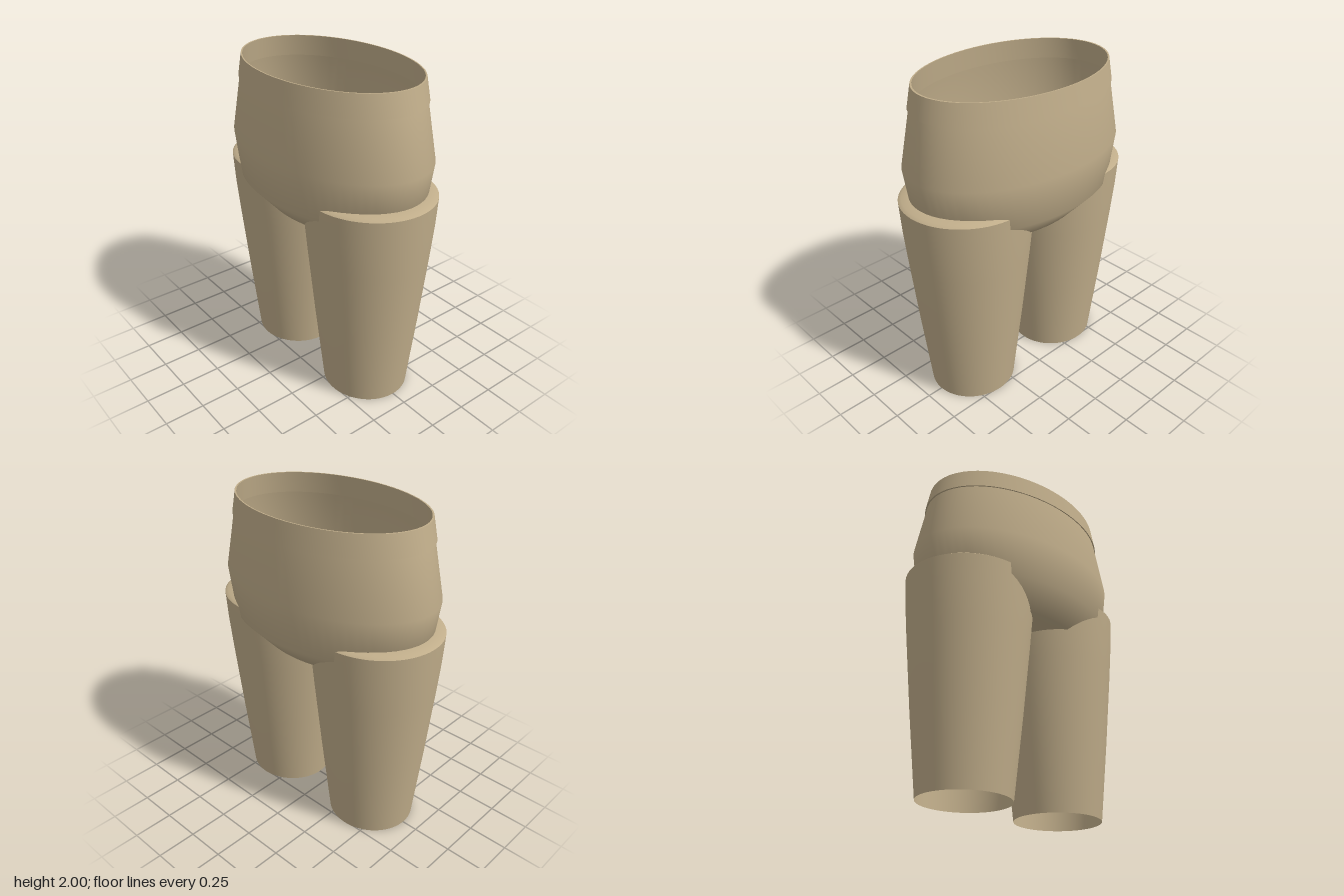
import * as THREE from 'three';
import { toCreasedNormals } from 'three/addons/utils/BufferGeometryUtils.js';

// Elliptical lathe from [radius, y] pairs; depth squashes z.
function ellipticLathe(points, depth) {
  const profile = points.map(([r, y]) => new THREE.Vector2(r, y));
  return new THREE.LatheGeometry(profile, 64).scale(1, 1, depth);
}

export function createModel() {
  const cloth = new THREE.MeshStandardMaterial({ color: 0xc0ad8a, side: THREE.DoubleSide });
  cloth.name = 'tan cloth';
  const model = new THREE.Group();
  model.name = 'trousers';

  function add(parent, name, geometry) {
    const mesh = new THREE.Mesh(geometry, cloth);
    mesh.name = name;
    parent.add(mesh);
    return mesh;
  }

  // Hips: open at the waist, closed at the crotch
  add(model, 'hips', ellipticLathe([
    [0, 1.1], [0.51, 1.12], [0.7, 1.26], [0.74, 1.53], [0.667, 1.88],
  ], 0.65));

  // Waistband: thin closed ring standing just proud of the hips
  add(model, 'waistband', toCreasedNormals(ellipticLathe([
    [0.66, 1.87], [0.679, 1.87], [0.652, 2], [0.641, 2], [0.66, 1.87],
  ], 0.65), 0.6));

  // Tapered legs, open at the hem, with a low domed top
  for (const [side, sign] of [['left', 1], ['right', -1]]) {
    const leg = new THREE.Group();
    leg.name = side + 'Leg';
    leg.position.x = sign * 0.373;
    add(leg, side + 'LegTube', ellipticLathe([
      [0.275, 0], [0.33, 0.5], [0.375, 0.95], [0.393, 1.15], [0.404, 1.33],
    ], 0.95));
    add(leg, side + 'LegTop', ellipticLathe([
      [0.404, 1.33], [0.385, 1.343], [0.33, 1.354], [0.2, 1.358], [0, 1.36],
    ], 0.95));
    model.add(leg);
  }
  return model;
}
